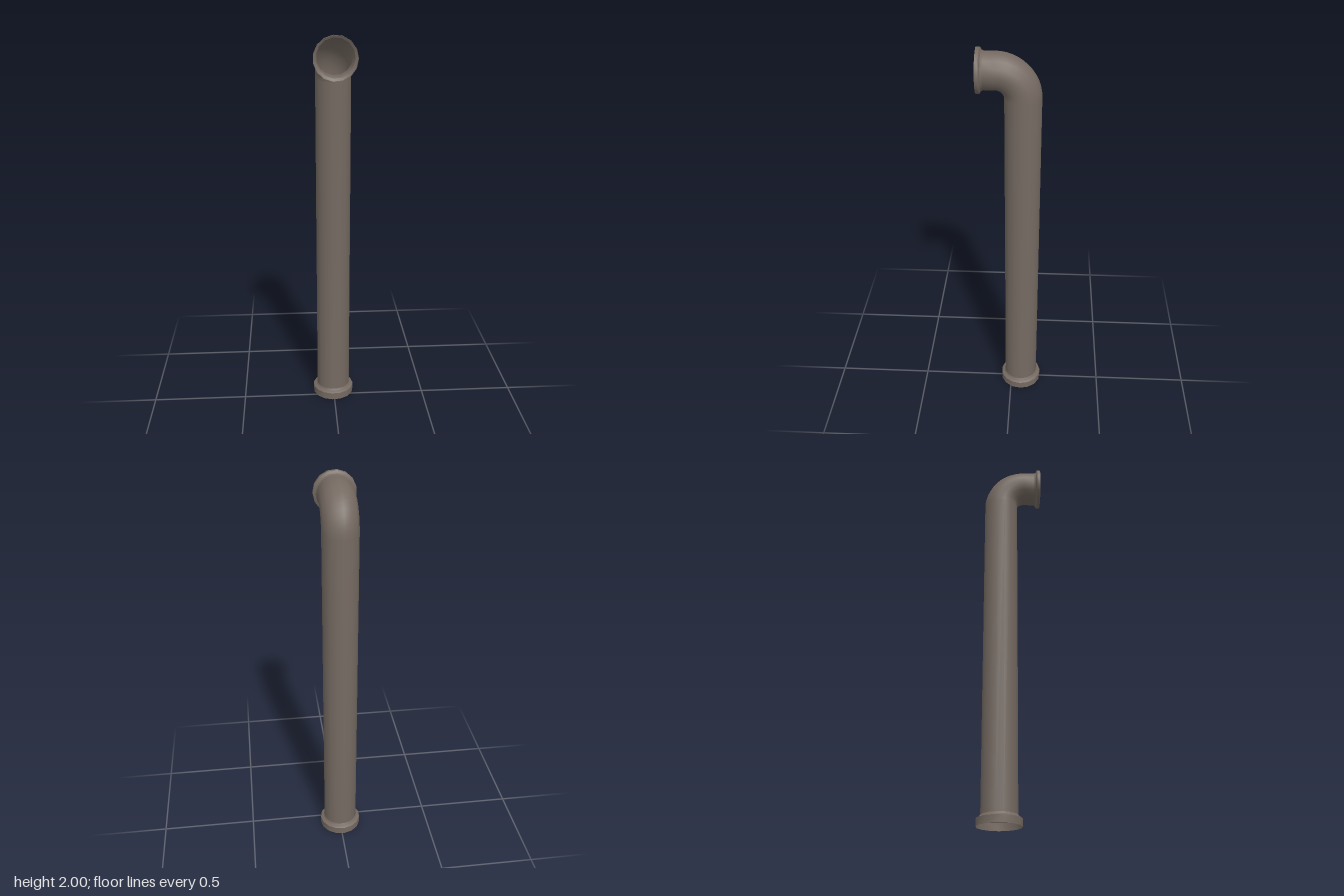
import * as THREE from 'three';
import { toCreasedNormals } from 'three/addons/utils/BufferGeometryUtils.js';

const SIDES = 15;
const X = -0.002, Z = -0.054;       // axis of the upright
const BEND_Y = 1.766, BEND = 0.13;  // start height and radius of the elbow
const R = 0.0895;                   // pipe radius

// A station is a ring: height, depth, tilt (0 = facing up, PI/2 = facing front) and radius
const upright = (y, r) => ({ y, z: Z, tilt: 0, r });
const level = (z, r) => ({ y: BEND_Y + BEND, z, tilt: Math.PI / 2, r });

// Open, smooth-sided shell through a row of rings
function sweep(stations) {
  const positions = [], index = [];
  stations.forEach(({ y, z, tilt, r }, j) => {
    for (let i = 0; i < SIDES; i++) {
      const a = (i / SIDES) * Math.PI * 2;
      const s = r * Math.sin(a);
      positions.push(X + r * Math.cos(a), y + s * Math.sin(tilt), z - s * Math.cos(tilt));
      if (j === 0) continue;
      const k = (i + 1) % SIDES, lo = (j - 1) * SIDES, hi = j * SIDES;
      index.push(lo + i, lo + k, hi + k, lo + i, hi + k, hi + i);
    }
  });
  const geometry = new THREE.BufferGeometry();
  geometry.setAttribute('position', new THREE.Float32BufferAttribute(positions, 3));
  geometry.setIndex(index);
  return toCreasedNormals(geometry, 0.6);
}

export function createModel() {
  const group = new THREE.Group();
  const metal = new THREE.MeshStandardMaterial({ color: 0x756a62, side: THREE.DoubleSide });
  metal.name = 'weathered metal';

  const add = (name, stations) => {
    const mesh = new THREE.Mesh(sweep(stations), metal);
    mesh.name = name;
    group.add(mesh);
  };

  // Flared collar standing on the ground
  add('baseCollar', [
    upright(0, 0.1107), upright(0.038, 0.1107), upright(0.042, 0.105),
    upright(0.046, 0.095), upright(0.055, R),
  ]);

  // Straight upright and the quarter-turn elbow
  const pipe = [upright(0.055, R)];
  const steps = 12;
  for (let i = 0; i <= steps; i++) {
    const tilt = (i / steps) * Math.PI / 2;
    pipe.push({
      y: BEND_Y + BEND * Math.sin(tilt),
      z: Z + BEND * (1 - Math.cos(tilt)),
      tilt,
      r: R,
    });
  }
  pipe.push(level(0.13, R));
  add('pipe', pipe);

  // Flared collar round the open mouth
  add('mouthCollar', [
    level(0.13, R), level(0.139, 0.094), level(0.143, 0.102),
    level(0.146, 0.1065), level(0.163, 0.1065),
  ]);

  return group;
}
